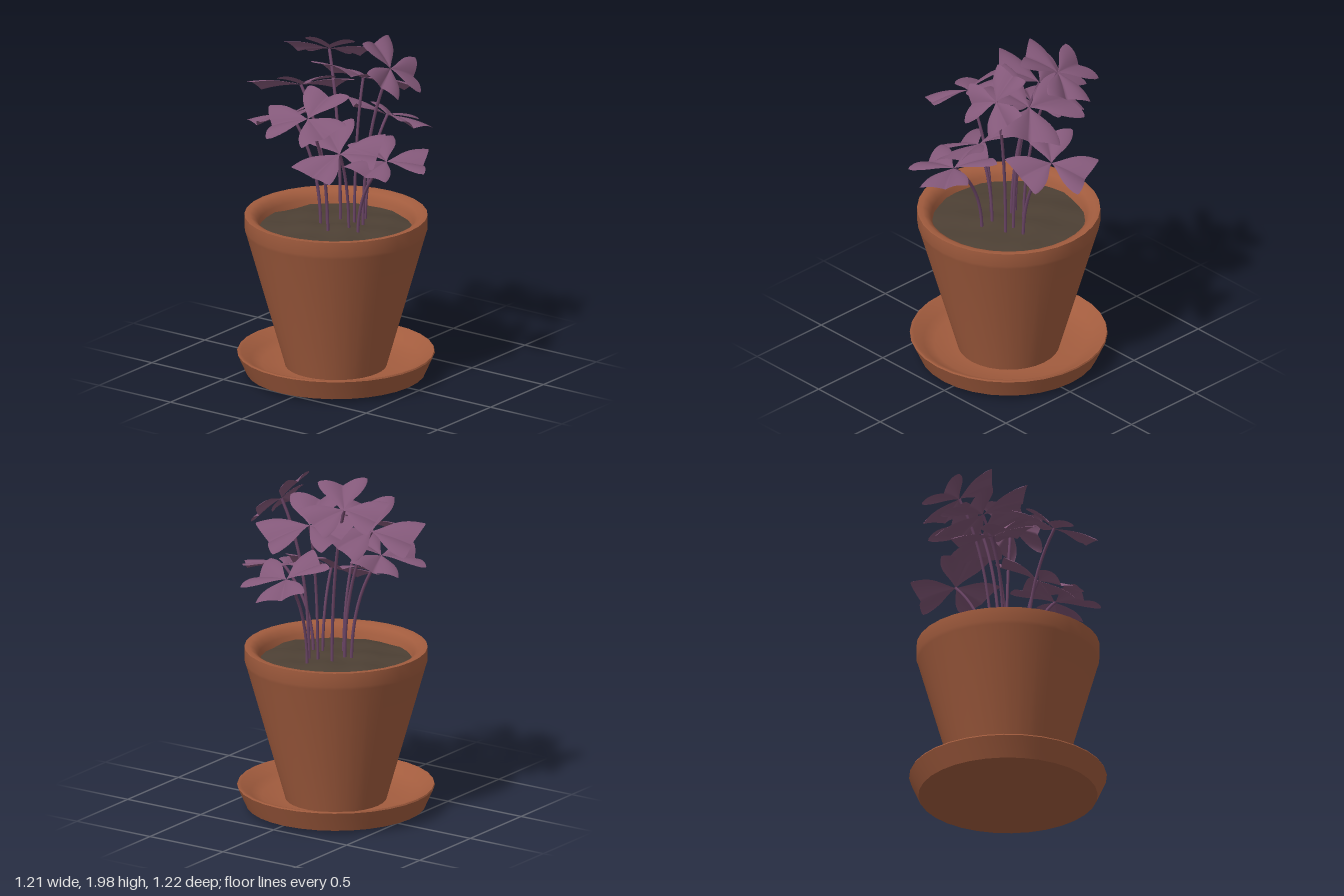
import * as THREE from 'three';
import { toCreasedNormals } from 'three/addons/utils/BufferGeometryUtils.js';

const terracotta = new THREE.MeshStandardMaterial({ color: 0xa25c3e });
terracotta.name = 'terracotta';
const earth = new THREE.MeshStandardMaterial({ color: 0x4d4034 });
earth.name = 'earth';
const leafPurple = new THREE.MeshStandardMaterial({ color: 0x835879, side: THREE.DoubleSide });
leafPurple.name = 'leaf purple';
const stemPurple = new THREE.MeshStandardMaterial({ color: 0x6b4566 });
stemPurple.name = 'stem purple';

const CX = -0.047, CZ = 0.047; // axis of the pot

function mesh(name, geometry, material, parent) {
  const m = new THREE.Mesh(geometry, material);
  m.name = name;
  parent.add(m);
  return m;
}

// Turned part with crisp edges between smooth walls
function turned(profile) {
  const lathe = new THREE.LatheGeometry(profile.map(([r, y]) => new THREE.Vector2(r, y)), 32);
  return toCreasedNormals(lathe, 0.75);
}

// Lumpy disc of soil
function soilGeometry() {
  const g = new THREE.RingGeometry(0.001, 0.43, 32, 7).rotateX(-Math.PI / 2);
  const p = g.attributes.position;
  for (let i = 0; i < p.count; i++) {
    const x = p.getX(i), z = p.getZ(i);
    const dome = 0.025 * (1 - (x * x + z * z) / 0.185);
    p.setY(i, dome + 0.009 * Math.sin(17 * x + 5 * z) * Math.cos(19 * z - 6 * x));
  }
  g.computeVertexNormals();
  return g;
}

// Heart-shaped leaflet of unit length growing along +x, folded at the midrib
function leafletGeometry() {
  const rows = 10, cols = 24, positions = [], index = [];
  for (let i = 0; i <= rows; i++) {
    const s = i / rows;
    for (let j = 0; j <= cols; j++) {
      const t = (j / cols) * 2 - 1, a = Math.abs(t);
      // shallow notch in the middle, pointed lobe at each side with a rounded tip
      const lobe = 0.78 + 0.22 * Math.min(a / 0.88, 1) ** 1.3;
      const tip = a > 0.88 ? 1 - 0.1 * ((a - 0.88) / 0.12) ** 2 : 1;
      const r = s * lobe * tip;
      const phi = t * (0.63 + 0.13 * Math.sin(Math.PI * s));
      const y = r * (0.18 * Math.sin(a * 2.2) + 0.1) - 0.2 * r * r;
      positions.push(r * Math.cos(phi), y, r * Math.sin(phi));
      if (i < rows && j < cols) {
        const k = i * (cols + 1) + j, n = k + cols + 1;
        index.push(k, k + 1, n, k + 1, n + 1, n);
      }
    }
  }
  const g = new THREE.BufferGeometry();
  g.setAttribute('position', new THREE.Float32BufferAttribute(positions, 3));
  g.setIndex(index);
  g.computeVertexNormals();
  return g;
}

// One stem with three leaflets; turn is the angle of the first leaflet from +x towards +z
function sprig({ root, top, facing, turn, size }, leaflet) {
  const group = new THREE.Group();
  group.name = 'sprig';
  const end = new THREE.Vector3(...top);
  const start = new THREE.Vector3(root[0], 0.86, root[1]);
  const bend = start.clone().setY(0.86 + 0.62 * (end.y - 0.86));
  const path = new THREE.QuadraticBezierCurve3(start, bend, end);
  mesh('stem', new THREE.TubeGeometry(path, 12, 0.009, 6), stemPurple, group);

  const head = new THREE.Group();
  head.name = 'leafHead';
  head.position.copy(end);
  head.quaternion.setFromUnitVectors(
    new THREE.Vector3(0, 1, 0), new THREE.Vector3(...facing).normalize());
  for (let i = 0; i < 3; i++) {
    const leaf = mesh('leaflet', leaflet, leafPurple, head);
    leaf.scale.setScalar(size);
    leaf.rotation.y = -THREE.MathUtils.degToRad(turn + i * 120);
  }
  group.add(head);
  return group;
}

const SPRIGS = [
  { root: [0.13, 0.08], top: [0.34, 1.35, 0.09], facing: [0.15, 1, 0.15], turn: -32, size: 0.265 },
  { root: [0.07, -0.05], top: [0.21, 1.82, -0.12], facing: [0.74, 0.66, 0], turn: -57, size: 0.22 },
  { root: [0.01, -0.05], top: [-0.01, 1.71, -0.16], facing: [0, 1, -0.42], turn: -49, size: 0.32 },
  { root: [-0.08, -0.04], top: [-0.24, 1.84, -0.15], facing: [-0.25, 1, -0.48], turn: -66, size: 0.26 },
  { root: [-0.09, 0.07], top: [-0.29, 1.67, 0.05], facing: [-0.28, 1, -0.32], turn: 46, size: 0.31 },
  { root: [-0.13, 0.08], top: [-0.3, 1.51, 0.13], facing: [-0.32, 1, -0.05], turn: 126, size: 0.265 },
  { root: [-0.02, 0.16], top: [-0.02, 1.6, 0.35], facing: [0.03, 1, 0.47], turn: 30, size: 0.27 },
  { root: [0.06, 0.07], top: [0.07, 1.36, 0.17], facing: [0.05, 1, 0.45], turn: -20, size: 0.285 },
  { root: [0.02, -0.14], top: [0.01, 1.44, -0.36], facing: [0.15, 1, -0.38], turn: -114, size: 0.27 },
];

export function createModel() {
  const model = new THREE.Group();
  model.name = 'pottedPlant';

  const saucer = mesh('saucer', turned([
    [0, 0], [0.33, 0], [0.505, 0.02], [0.557, 0.137], [0.553, 0.145],
    [0.535, 0.141], [0.48, 0.095], [0.42, 0.07], [0.3, 0.06], [0, 0.058],
  ]), terracotta, model);
  const pot = mesh('pot', turned([
    [0, 0.05], [0.283, 0.05], [0.509, 0.85], [0.516, 0.87], [0.516, 0.95],
    [0.485, 0.95], [0.458, 0.935], [0.437, 0.9], [0.42, 0.82], [0, 0.8],
  ]), terracotta, model);
  const soil = mesh('soil', soilGeometry(), earth, model);
  for (const part of [saucer, pot, soil]) part.position.set(CX, 0, CZ);
  soil.position.y = 0.868;

  const leaflet = leafletGeometry();
  for (const s of SPRIGS) model.add(sprig(s, leaflet));
  return model;
}
